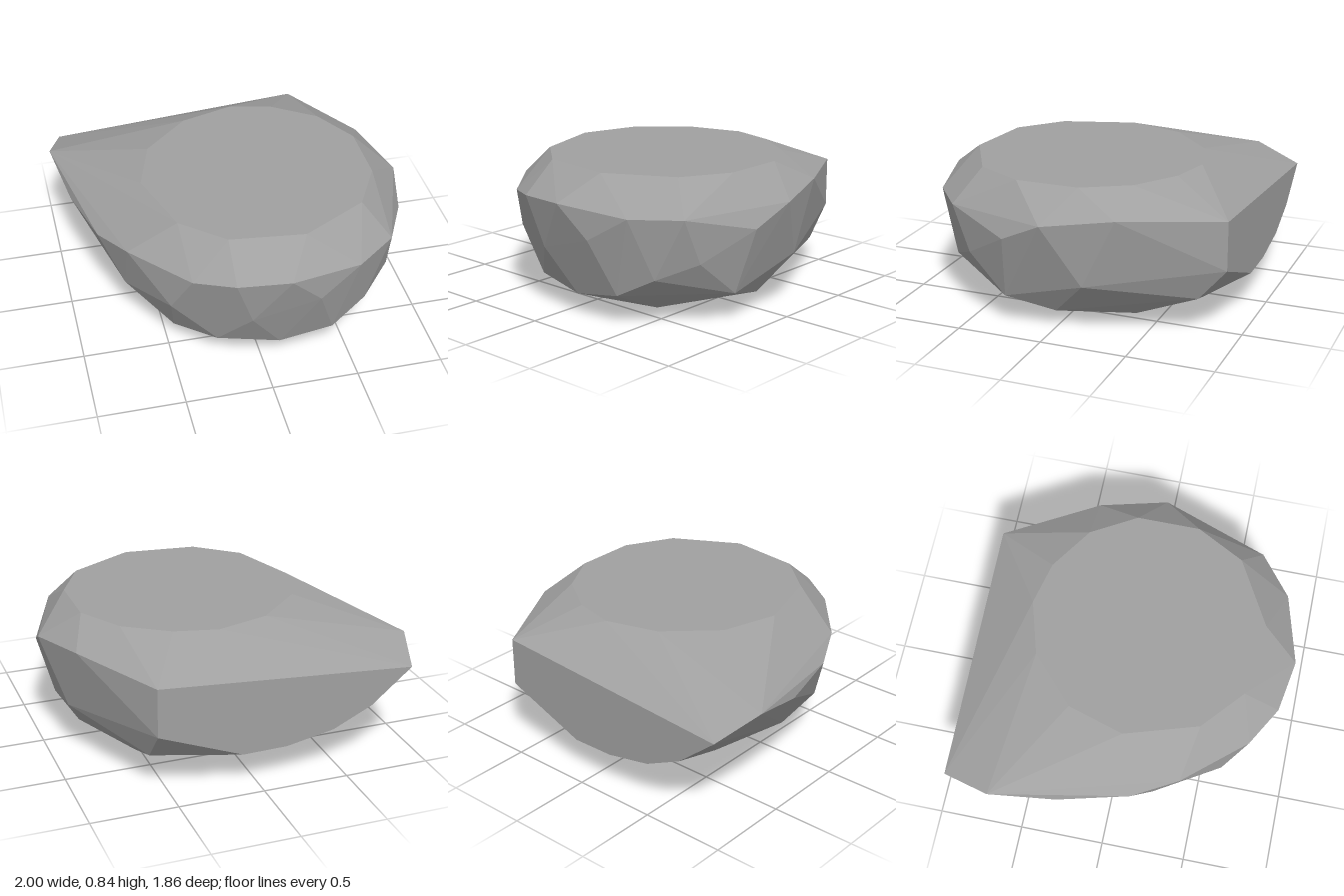
import * as THREE from 'three';
import { ConvexGeometry } from 'three/addons/geometries/ConvexGeometry.js';

const TOP = 0.84, BACK = -0.93;

// Flat top outline [x, z]
const top = [
  [-0.18, -0.54], [0.13, -0.63], [0.38, -0.57], [0.63, -0.4], [0.78, -0.14], [0.78, 0.23],
  [0.63, 0.51], [0.25, 0.72], [-0.18, 0.67], [-0.42, 0.46], [-0.55, 0.04], [-0.45, -0.29],
];

// Split flat back face outline [x, y]
const back = [
  [0.59, 0.685], [0.59, 0.4], [0.1, 0.21], [-0.16, 0.215], [-0.44, 0.27], [-0.67, 0.38], [-0.91, 0.58],
];

// Widest ring [x, y, z]
const rim = [
  [-1, 0.67, -0.65], [0.88, 0.71, -0.39], [1, 0.67, 0], [0.96, 0.555, 0.24], [0.78, 0.65, 0.63],
  [0.54, 0.65, 0.82], [0.12, 0.685, 0.93], [-0.18, 0.67, 0.88], [-0.4, 0.64, 0.75],
  [-0.7, 0.64, 0.4], [-0.83, 0.59, 0.14], [-0.93, 0.575, -0.27],
];

// Tapering sides [x, y, z]
const sides = [
  [0.59, 0.215, -0.77], [0.89, 0.31, -0.2], [0.85, 0.175, 0.28], [0.8, 0.385, 0.52],
  [0.62, 0.295, 0.69], [0.3, 0.5, 0.88], [0.41, 0.18, 0.765], [0.1, 0.125, 0.76],
  [-0.08, 0.38, 0.84], [-0.25, 0.155, 0.69], [-0.5, 0.385, 0.62], [-0.46, 0.11, 0.46],
  [-0.7, 0.3, 0.25], [-0.7, 0.24, -0.06], [-0.55, 0.19, -0.48],
];

// Shallow rounded underside [x, y, z]
const underside = [
  [0.78, 0.1, 0], [0.56, 0.06, -0.4], [0.15, 0.05, -0.42], [-0.2, 0.065, -0.4], [-0.51, 0.1, 0],
  [-0.22, 0.03, 0.1], [0.1, 0, 0], [0.39, 0.012, 0.05], [0.1, 0.008, 0.24],
  [0.1, 0.04, 0.52], [0.45, 0.05, 0.48], [-0.2, 0.05, 0.4],
];

export function createModel() {
  const group = new THREE.Group();
  group.name = 'rock';

  const stone = new THREE.MeshStandardMaterial({ color: 0xa0a0a0 });
  stone.name = 'stone grey';

  // Faceted boulder wrapped around all rings
  const points = [
    ...top.map(([x, z]) => [x, TOP, z]),
    ...back.map(([x, y]) => [x, y, BACK]),
    ...rim, ...sides, ...underside,
  ].map((p) => new THREE.Vector3(...p));

  const boulder = new THREE.Mesh(new ConvexGeometry(points), stone);
  boulder.name = 'boulder';
  group.add(boulder);
  return group;
}
